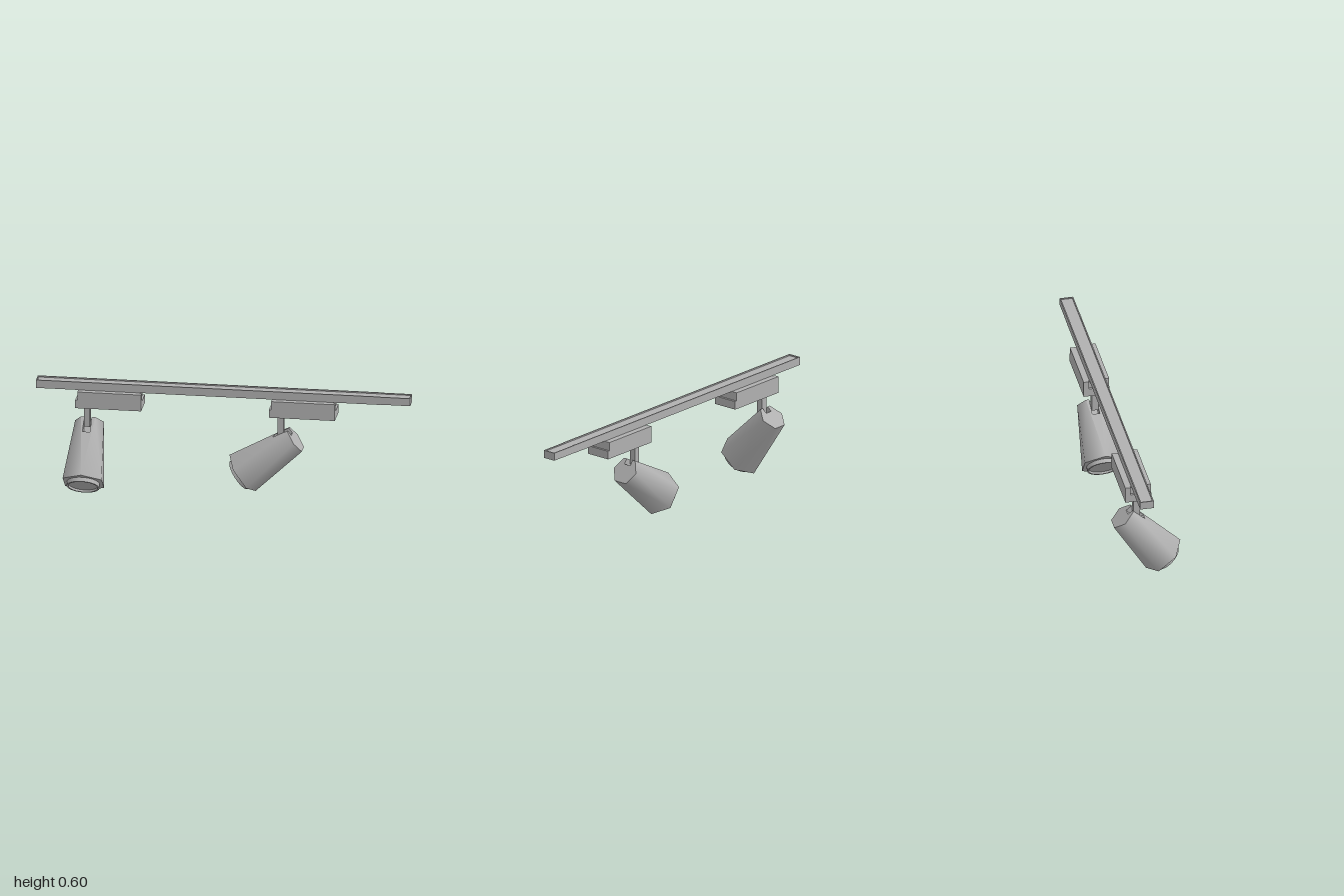
import * as THREE from 'three';

const AXIS_Z = -0.055;   // rail centre line
const LEN = 0.349, R_BIG = 0.12, R_SMALL = 0.0765;   // lamp head sizes
const SLOT_W = 0.02, SLOT_L = 0.09, SLOT_FLOOR = 0.034;

const metal = new THREE.MeshStandardMaterial({ color: 0xb0b0b0, side: THREE.DoubleSide });
metal.name = 'grey metal';

function mesh(name, geometry, parent) {
  const m = new THREE.Mesh(geometry, metal);
  m.name = name;
  parent.add(m);
  return m;
}

// Box given by its limits on each axis
function block(name, [x0, x1], [y0, y1], [z0, z1], parent) {
  const m = mesh(name, new THREE.BoxGeometry(x1 - x0, y1 - y0, z1 - z0), parent);
  m.position.set((x0 + x1) / 2, (y0 + y1) / 2, (z0 + z1) / 2);
  return m;
}

function polygon(points) {
  return new THREE.ShapeGeometry(new THREE.Shape(points.map(([x, y]) => new THREE.Vector2(x, y))));
}

// Twisted hexagonal shell; the facet around the upper edge is left open for the slotted panel
function shellGeometry() {
  const pos = [], index = [];
  for (let i = 0; i < 6; i++) {
    const a = i * Math.PI / 3, b = a - Math.PI / 6;
    pos.push(R_BIG * Math.sin(a), 0, R_BIG * Math.cos(a));
    pos.push(R_SMALL * Math.sin(b), LEN, R_SMALL * Math.cos(b));
  }
  for (let i = 0; i < 6; i++) {
    const j = (i + 1) % 6;
    index.push(2 * i, 2 * j + 1, 2 * i + 1);
    index.push(2 * i, 2 * j, 2 * j + 1);
  }
  const g = new THREE.BufferGeometry();
  g.setAttribute('position', new THREE.Float32BufferAttribute(pos, 3));
  g.setIndex(index);
  g.computeVertexNormals();
  g.setIndex(index.slice(3));
  return g;
}

function lampHead(parent) {
  const head = new THREE.Group();
  head.name = 'lampHead';
  parent.add(head);
  mesh('shade', shellGeometry(), head);

  // Upper facet with the slot for the stem
  const zs = R_SMALL * Math.cos(Math.PI / 6), half = R_SMALL / 2;
  const slope = Math.atan2(R_BIG - zs, LEN), run = LEN / Math.cos(slope);
  const cut = run - SLOT_L / Math.cos(slope);
  const facet = mesh('slottedFacet', polygon([[0, 0], [half, run], [SLOT_W, run], [SLOT_W, cut],
    [-SLOT_W, cut], [-SLOT_W, run], [-half, run]]), head);
  facet.position.z = R_BIG;
  facet.rotation.x = -slope;

  // Small end plate, notched by the slot
  const s = Math.sqrt(3) / 2 * R_SMALL;
  const end = mesh('backPlate', polygon([[R_SMALL, 0], [half, s], [-half, s], [-R_SMALL, 0],
    [-half, -s], [-SLOT_W, -s], [-SLOT_W, -SLOT_FLOOR], [SLOT_W, -SLOT_FLOOR], [SLOT_W, -s], [half, -s]]), head);
  end.rotation.x = -Math.PI / 2;
  end.position.y = LEN;

  // Slot floor, back wall and side walls
  const zCut = zs + SLOT_L * Math.tan(slope), y0 = LEN - SLOT_L;
  const floor = mesh('slotFloor', new THREE.PlaneGeometry(2 * SLOT_W, SLOT_L), head);
  floor.position.set(0, LEN - SLOT_L / 2, SLOT_FLOOR);
  const wall = mesh('slotBack', new THREE.PlaneGeometry(2 * SLOT_W, zCut - SLOT_FLOOR), head);
  wall.rotation.x = -Math.PI / 2;
  wall.position.set(0, y0, (zCut + SLOT_FLOOR) / 2);
  for (const side of [-1, 1]) {
    const w = mesh('slotSide', polygon([[-SLOT_FLOOR, y0], [-SLOT_FLOOR, LEN], [-zs, LEN], [-zCut, y0]]), head);
    w.rotation.y = Math.PI / 2;
    w.position.x = side * SLOT_W;
  }

  // Front plate, round lip and lens
  const front = mesh('frontPlate', new THREE.CircleGeometry(R_BIG, 6, Math.PI / 2), head);
  front.rotation.x = Math.PI / 2;
  mesh('lip', new THREE.CylinderGeometry(0.087, 0.087, 0.023, 32, 1, true), head).position.y = -0.0115;
  const rim = mesh('lipRim', new THREE.RingGeometry(0.078, 0.087, 32), head);
  rim.rotation.x = Math.PI / 2;
  rim.position.y = -0.023;
  mesh('lipInside', new THREE.CylinderGeometry(0.078, 0.078, 0.012, 32, 1, true), head).position.y = -0.017;
  const lens = mesh('lens', new THREE.CircleGeometry(0.078, 32), head);
  lens.rotation.x = Math.PI / 2;
  lens.position.y = -0.011;
  return head;
}

// Adapter box, flange and stem; x is the stem centre
function adapter(x, parent) {
  const g = new THREE.Group();
  g.name = 'adapter';
  parent.add(g);
  const x0 = x - 0.055, x1 = x + 0.297, d = 0.012;
  const full = [-0.125, 0.015];
  block('adapterBody', [x0 + d, x1 - d], [0.47, 0.561], full, g);
  // Stepped ends: a recess in the upper half, open on opposite sides
  for (const [span, z] of [[[x0, x0 + d], [-0.125, -0.097]], [[x1 - d, x1], [-0.013, 0.015]]]) {
    block('endStep', span, [0.47, 0.515], full, g);
    block('endTab', span, [0.515, 0.561], z, g);
  }
  mesh('flange', new THREE.CylinderGeometry(0.028, 0.028, 0.007, 24), g).position.set(x, 0.4665, AXIS_Z);
  block('stem', [x - 0.0165, x + 0.0165], [0.35, 0.465], [AXIS_Z - 0.018, AXIS_Z + 0.018], g);
}

export function createModel() {
  const model = new THREE.Group();
  model.name = 'trackLight';

  // Rail: side walls, a web near the top and inward lips at the bottom
  const rightHalf = [[0, 0.598], [0.031, 0.598], [0.031, 0.605], [0.037, 0.605], [0.037, 0.561],
    [0.02, 0.561], [0.02, 0.566], [0.031, 0.566], [0.031, 0.592], [0, 0.592]];
  const leftHalf = rightHalf.slice(1, -1).reverse().map(([x, y]) => [-x, y]);
  const profile = new THREE.Shape([...rightHalf, ...leftHalf].map(([x, y]) => new THREE.Vector2(x, y)));
  const rail = mesh('rail', new THREE.ExtrudeGeometry(profile, { depth: 1.84, bevelEnabled: false }), model);
  rail.rotation.y = Math.PI / 2;
  rail.position.set(-1, 0, AXIS_Z);

  // Rail ends: a thin plate and a long feed cap
  block('endPlate', [-1, -0.994], [0.561, 0.605], [-0.092, -0.018], model);
  block('feedCap', [0.84, 1], [0.562, 0.598], [-0.0915, -0.0185], model);
  for (const z of [-0.0915, -0.0245]) block('feedCapRim', [0.84, 1], [0.598, 0.604], [z, z + 0.006], model);
  block('feedCapEnd', [0.994, 1], [0.598, 0.604], [-0.0855, -0.0245], model);

  // Two lamps, turned and tilted differently
  adapter(-0.73, model);
  const first = lampHead(model);
  first.position.set(-0.73, 0.08, 0.0915);
  first.rotation.set(-0.69, 0, 0);

  adapter(0.305, model);
  const second = lampHead(model);
  second.position.set(0.099, 0.128, AXIS_Z);
  second.rotation.set(-0.95, -Math.PI / 2, 0, 'YXZ');

  return model;
}
